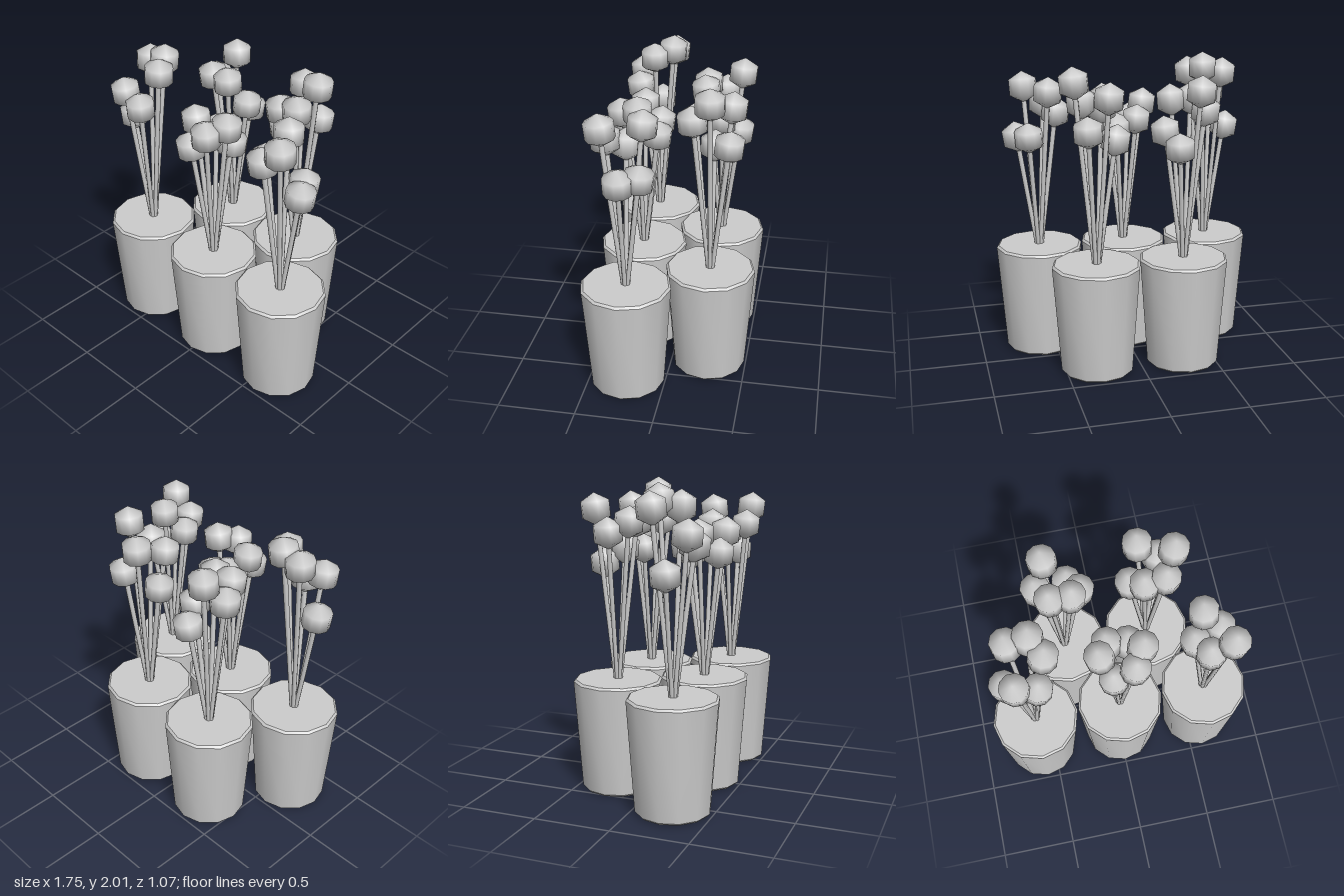
import * as THREE from 'three';
import { toCreasedNormals } from 'three/addons/utils/BufferGeometryUtils.js';

const UP = new THREE.Vector3(0, 1, 0);
const POT_TOP = 0.735;
const SPREAD = 0.13; // distance of the flower heads from the pot axis

// Pot centre, then six head heights going round from +x through the front
const POTS = [
  { x: -0.585, z: 0.245, heights: [1.87, 1.65, 1.72, 1.49, 1.87, 1.91] },
  { x: 0, z: 0.245, heights: [1.71, 1.67, 1.55, 1.67, 1.58, 1.53] },
  { x: 0.585, z: 0.245, heights: [1.48, 1.79, 1.68, 1.63, 1.78, 1.49] },
  { x: -0.29, z: -0.25, heights: [1.57, 1.75, 1.755, 1.69, 1.83, 1.48] },
  { x: 0.29, z: -0.25, heights: [1.895, 1.755, 1.72, 1.53, 1.81, 1.61] },
];

export function createModel() {
  const model = new THREE.Group();
  model.name = 'pottedFlowers';
  const grey = new THREE.MeshStandardMaterial({ color: 0xcccccc });
  grey.name = 'grey';

  // Twelve-sided tapered pot with small bevels, closed at both ends
  const profile = [[0, 0], [0.226, 0], [0.24, 0.014], [0.29, 0.721], [0.276, POT_TOP], [0, POT_TOP]]
    .map(([r, y]) => new THREE.Vector2(r, y));
  const potGeometry = toCreasedNormals(new THREE.LatheGeometry(profile, 12), 0.6);

  // Heads are coarse spheres with only two rings
  const headGeometry = new THREE.SphereGeometry(0.105, 10, 3);

  const add = (parent, name, geometry) => {
    const mesh = new THREE.Mesh(geometry, grey);
    mesh.name = name;
    parent.add(mesh);
    return mesh;
  };

  for (const { x, z, heights } of POTS) {
    const plant = new THREE.Group();
    plant.name = 'plant';
    plant.position.set(x, 0, z);
    add(plant, 'pot', potGeometry);

    // Stems lean outward from the pot axis, each carrying a tilted head
    heights.forEach((height, i) => {
      const angle = (i * Math.PI) / 3;
      const out = new THREE.Vector3(Math.cos(angle), 0, Math.sin(angle));
      const base = out.clone().multiplyScalar(0.012).setY(0.7);
      const tip = out.clone().multiplyScalar(SPREAD).setY(height);
      const along = tip.clone().sub(base);
      const length = along.length();
      const tilt = new THREE.Quaternion().setFromUnitVectors(UP, along.normalize());

      const stem = add(plant, 'stem', new THREE.CylinderGeometry(0.017, 0.014, length, 8));
      stem.position.copy(base).lerp(tip, 0.5);
      stem.quaternion.copy(tilt);

      const head = add(plant, 'flowerHead', headGeometry);
      head.position.copy(tip);
      head.quaternion.copy(tilt);
    });
    model.add(plant);
  }
  return model;
}
